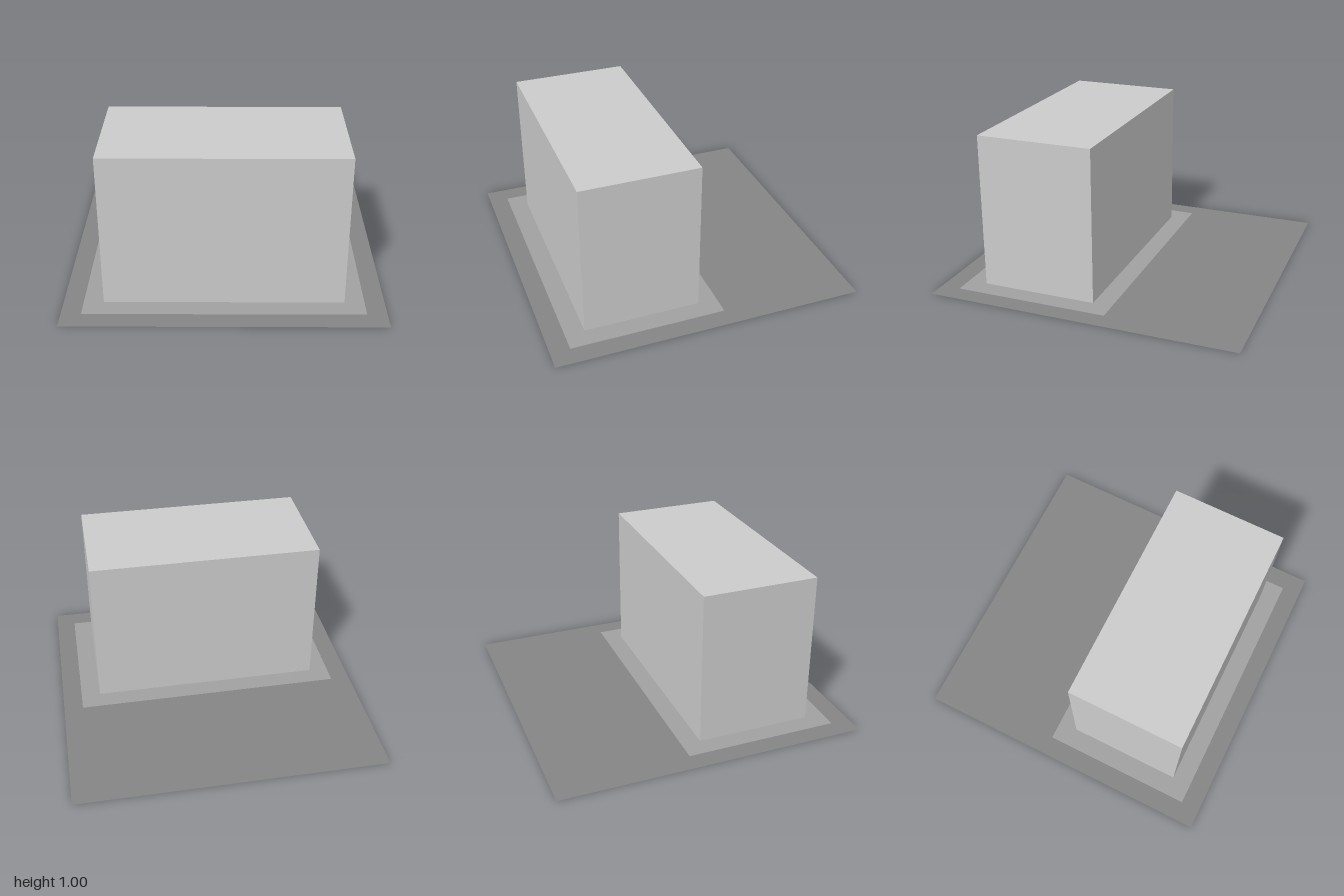
import * as THREE from 'three';

const material = (color) => new THREE.MeshStandardMaterial({ color, side: THREE.DoubleSide });

// Corners of a rectangle on the ground, in shape coordinates (shape y = -z)
function corners(x, zBack, zFront) {
  return [[-x, -zFront], [x, -zFront], [x, -zBack], [-x, -zBack]].map(([a, b]) => new THREE.Vector2(a, b));
}

// Flat rectangular frame lying on y = 0 with a rectangular opening
function flatFrame(name, outer, inner, color) {
  const shape = new THREE.Shape(corners(...outer));
  shape.holes.push(new THREE.Path(corners(...inner)));
  const mesh = new THREE.Mesh(new THREE.ShapeGeometry(shape).rotateX(-Math.PI / 2), material(color));
  mesh.name = name;
  return mesh;
}

export function createModel() {
  const model = new THREE.Group();
  model.name = 'buildingOnPlot';

  // Half width, back z, front z of each outline
  const plot = [1, -1, 1];
  const path = [0.875, -0.125, 0.875];
  const house = [0.75, 0, 0.75];

  // Ground and the paved border around the building
  model.add(flatFrame('ground', plot, path, 0x858585));
  model.add(flatFrame('pavedBorder', path, house, 0xa0a0a0));

  // Building shell: four walls and a flat roof, open underneath
  const shell = new THREE.BoxGeometry(1.5, 1, 0.75);
  const index = Array.from(shell.index.array);
  index.splice(18, 6); // bottom face
  shell.setIndex(index);
  shell.clearGroups();
  const building = new THREE.Mesh(shell, material(0xcccccc));
  building.name = 'buildingShell';
  building.position.set(0, 0.5, 0.375);
  model.add(building);

  return model;
}
